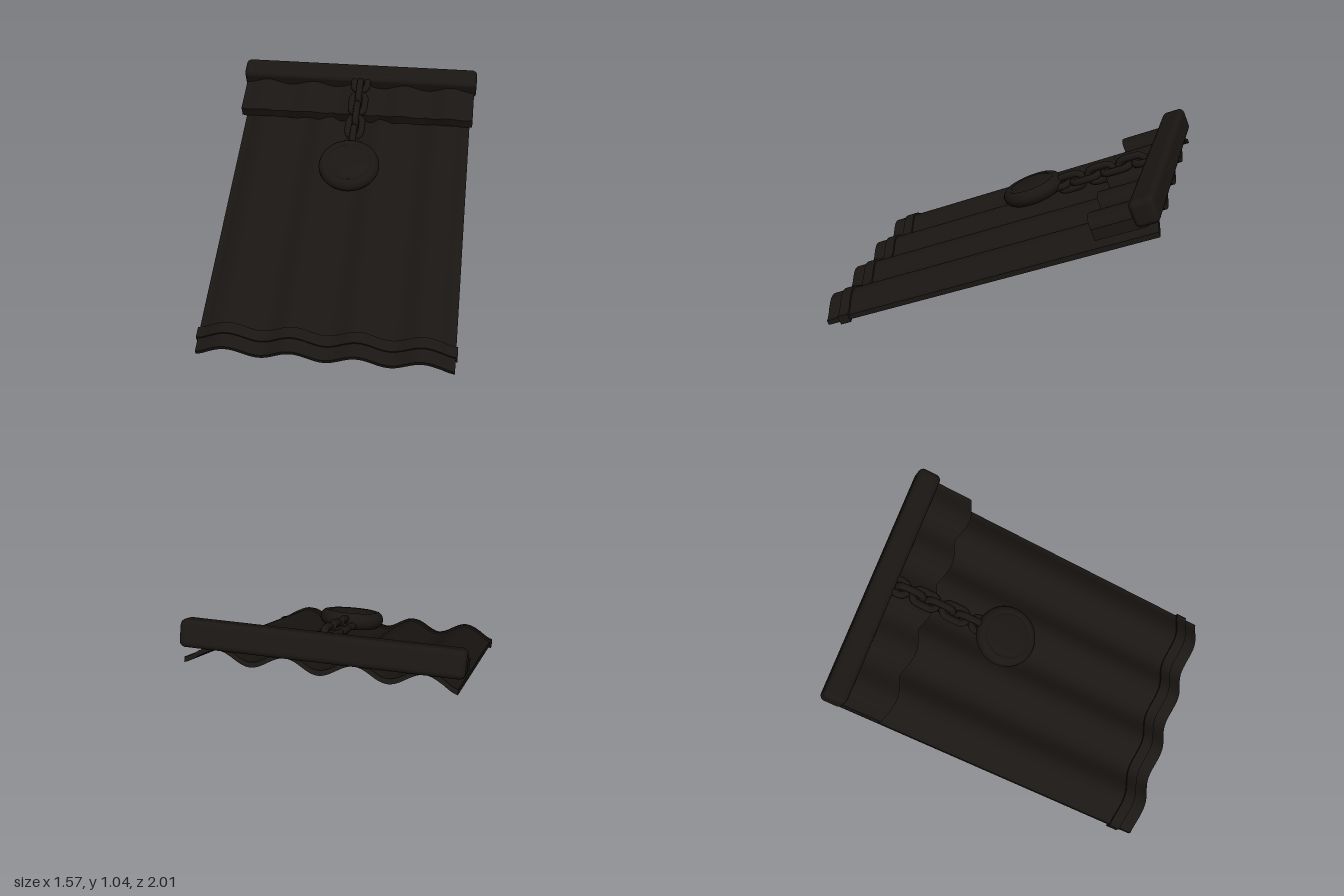
import * as THREE from 'three';
import { RoundedBoxGeometry } from 'three/addons/geometries/RoundedBoxGeometry.js';

const SLOPE = Math.atan(0.415);
const material = new THREE.MeshStandardMaterial({ color: 0x1a1613 });

// Corrugation of the panel: valleys at x = 0, a slight droop at the side edges
const panelWave = (x) =>
  0.433 - 0.036 * Math.cos((2 * Math.PI * x) / 0.38) - 0.014 * Math.max(0, (Math.abs(x) - 0.68) / 0.08);
// Softer waves and scalloped hem of the apron: crest at x = 0
const apronWave = (x) => 0.505 + 0.02 * Math.cos((2 * Math.PI * x) / 0.31);
const apronHem = (x) => 0.035 * Math.abs(Math.cos((Math.PI * x) / 0.31));

function add(parent, name, geometry, x = 0, y = 0, z = 0) {
  const mesh = new THREE.Mesh(geometry, material);
  mesh.name = name;
  mesh.position.set(x, y, z);
  parent.add(mesh);
  return mesh;
}

// A slab between z0 and z1 whose height follows wave(x); hem(x) extends its lower end
function waveSlab(halfWidth, thickness, z0, z1, wave, hem = () => 0) {
  const geometry = new THREE.BoxGeometry(halfWidth * 2, thickness, z1 - z0, 120, 1, 1);
  geometry.translate(0, 0, (z0 + z1) / 2);
  const p = geometry.attributes.position;
  for (let i = 0; i < p.count; i++) {
    const x = p.getX(i);
    p.setY(i, p.getY(i) + wave(x));
    if (p.getZ(i) > (z0 + z1) / 2) p.setZ(i, p.getZ(i) + hem(x));
  }
  geometry.computeVertexNormals();
  return geometry;
}

// Oval chain link lying flat, long axis along z
function linkGeometry() {
  const points = [];
  for (let i = 0; i < 20; i++) {
    const a = (i / 20) * Math.PI * 2;
    const c = Math.cos(a), s = Math.sin(a);
    points.push(new THREE.Vector3(0.044 * c, 0, 0.04 * s + 0.042 * Math.tanh(s * 4)));
  }
  const curve = new THREE.CatmullRomCurve3(points, true);
  return new THREE.TubeGeometry(curve, 48, 0.022, 10, true);
}

// Rounded disc with a groove around its raised centre
function medallionGeometry() {
  const profile = [
    [0, -0.055], [0.12, -0.054], [0.155, -0.048], [0.178, -0.032], [0.19, -0.008],
    [0.19, 0.012], [0.182, 0.032], [0.168, 0.045], [0.152, 0.049], [0.143, 0.046],
    [0.138, 0.04], [0.132, 0.046], [0.12, 0.051], [0.07, 0.056], [0, 0.058],
  ].map(([r, y]) => new THREE.Vector2(r, y));
  return new THREE.LatheGeometry(profile, 56);
}

export function createModel() {
  const model = new THREE.Group();
  model.name = 'corrugatedRoofPanel';
  const slope = new THREE.Group();
  slope.name = 'slopedAssembly';
  slope.rotation.x = SLOPE;
  model.add(slope);

  // Corrugated sheet and the raised band near its lower edge
  add(slope, 'corrugatedSheet', waveSlab(0.755, 0.03, -1.238, 0.886, panelWave));
  add(slope, 'lowerBand', waveSlab(0.765, 0.054, 0.73, 0.8, panelWave));

  // Scalloped apron and ridge cap at the upper edge
  add(slope, 'apron', waveSlab(0.772, 0.068, -1.2, -0.895, apronWave, apronHem));
  add(slope, 'ridgeCap', new RoundedBoxGeometry(1.57, 0.157, 0.145, 5, 0.035), 0, 0.532, -1.203);

  // Chain: links alternate between lying flat and standing upright
  const chain = new THREE.Group();
  chain.name = 'chain';
  slope.add(chain);
  const link = linkGeometry();
  for (let i = 0; i < 7; i++) {
    const mesh = add(chain, 'chainLink', link, 0.014, 0.578, -0.535 - i * 0.1);
    if (i % 2 === 1) mesh.rotation.z = Math.PI / 2;
  }

  // Medallion hanging from the chain
  add(slope, 'medallion', medallionGeometry(), 0.014, 0.602, -0.392);
  return model;
}
